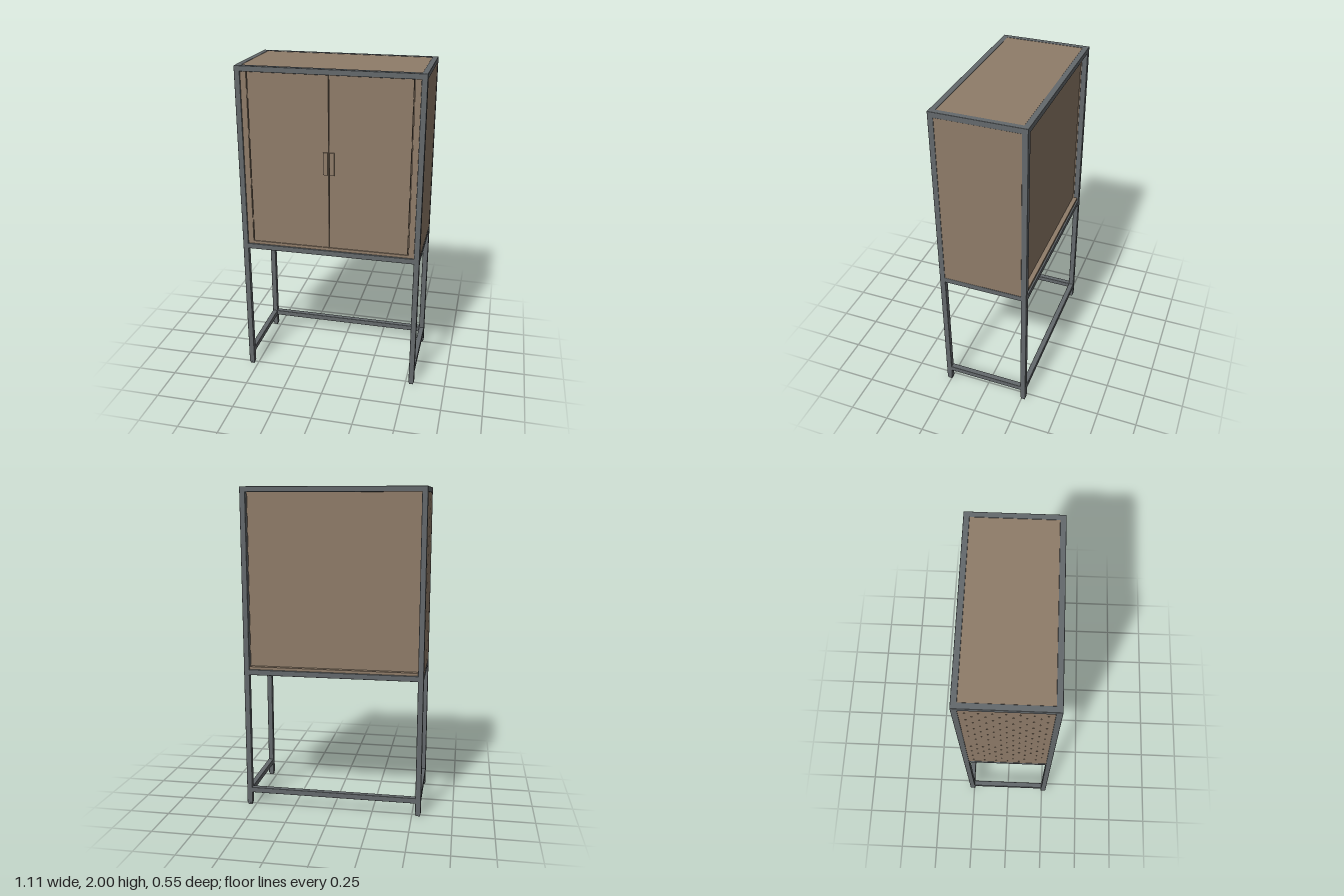
import * as THREE from 'three';
import { RoundedBoxGeometry } from 'three/addons/geometries/RoundedBoxGeometry.js';

export function createModel() {
  const cabinet = new THREE.Group();
  cabinet.name = 'cabinet';
  const steel = new THREE.MeshStandardMaterial({ color: 0x64696c });
  steel.name = 'grey steel';
  const wood = new THREE.MeshStandardMaterial({ color: 0x8f7c69 });
  wood.name = 'brown panel';

  // Box given by its limits on each axis
  function box(name, mat, [x0, x1], [y0, y1], [z0, z1], radius = 0) {
    const size = [x1 - x0, y1 - y0, z1 - z0];
    const geo = radius ? new RoundedBoxGeometry(...size, 2, radius) : new THREE.BoxGeometry(...size);
    const mesh = new THREE.Mesh(geo, mat);
    mesh.name = name;
    mesh.position.set((x0 + x1) / 2, (y0 + y1) / 2, (z0 + z1) / 2);
    cabinet.add(mesh);
  }
  // Limits mirrored to the negative side when s is -1
  const side = (s, a, b) => (s > 0 ? [a, b] : [-b, -a]);

  const X = 0.555, Z = 0.277, T = 0.034, R = 0.003;
  const xi = X - T, zi = Z - T;
  const xo = xi + 0.01, zo = zi + 0.01; // panels tuck into the frame

  // Corner posts with slimmer feet
  for (const sx of [-1, 1]) for (const sz of [-1, 1]) {
    box('cornerPost', steel, side(sx, xi, X), [0.012, 2], side(sz, zi, Z), R);
    box('foot', steel, side(sx, xi + 0.004, X - 0.004), [0, 0.02], side(sz, zi + 0.004, Z - 0.004));
  }

  // Rails around the top and under the cupboard; stretchers at the sides and back
  for (const [name, y0, y1] of [['topRail', 1.967, 2], ['middleRail', 0.857, 0.891], ['stretcher', 0.083, 0.117]]) {
    for (const s of [-1, 1]) {
      box(name, steel, side(s, xi, X), [y0, y1], [-zo, zo], R);
      if (name !== 'stretcher' || s < 0) {
        box(name, steel, [-xo, xo], [y0, y1], side(s, zi, Z), R);
      }
    }
  }

  // Cupboard panels
  box('topPanel', wood, [-xi, xi], [1.975, 1.998], [-zi, zi]);
  box('bottomPanel', wood, [-xi, xi], [0.882, 0.892], [-zi, zi]);
  box('leftSidePanel', wood, [xi, X - 0.002], [0.889, 1.969], [-zi, zi]);
  box('backPanel', wood, [-xo, xo], [0.88, 1.98], [-0.237, -0.222]);
  box('backSill', wood, [-xi, xi], [0.88, 0.908], [-0.266, -0.23]);

  // Right side panel, perforated in staggered rows
  const sheet = new THREE.Shape([
    new THREE.Vector2(-zi, 0.889), new THREE.Vector2(zi, 0.889),
    new THREE.Vector2(zi, 1.969), new THREE.Vector2(-zi, 1.969),
  ]);
  for (let row = 0; row < 19; row++) {
    const odd = row % 2;
    for (let i = 0; i < 7 - odd; i++) {
      const hole = new THREE.Path();
      hole.absarc(-0.21 + (i + odd / 2) * 0.07, 0.935 + row * 0.055, 0.005, 0, Math.PI * 2, true);
      sheet.holes.push(hole);
    }
  }
  const perforated = new THREE.Mesh(
    new THREE.ExtrudeGeometry(sheet, { depth: X - 0.002 - xi, bevelEnabled: false, curveSegments: 8 }), wood);
  perforated.name = 'perforatedSidePanel';
  perforated.rotation.y = -Math.PI / 2;
  perforated.position.x = -xi;
  cabinet.add(perforated);

  // Front sill and stiles
  box('frontSill', wood, [-xo, xo], [0.88, 0.909], [0.24, 0.268]);
  for (const s of [-1, 1]) {
    box('frontStile', wood, side(s, 0.487, xo), [0.909, 1.98], [0.24, 0.268]);

    // Flat door and its pull
    box('door', wood, side(s, 0.002, 0.481), [0.912, 1.967], [0.24, 0.268]);
    box('doorHandle', wood, side(s, 0.006, 0.034), [1.38, 1.517], [0.266, 0.277]);

    // Hinges between stile and door
    for (const y of [1.06, 1.3, 1.6, 1.84]) {
      const hinge = new THREE.Mesh(new THREE.CylinderGeometry(0.003, 0.003, 0.05, 10), wood);
      hinge.name = 'hinge';
      hinge.position.set(s * 0.484, y, 0.266);
      cabinet.add(hinge);
    }
  }
  return cabinet;
}
